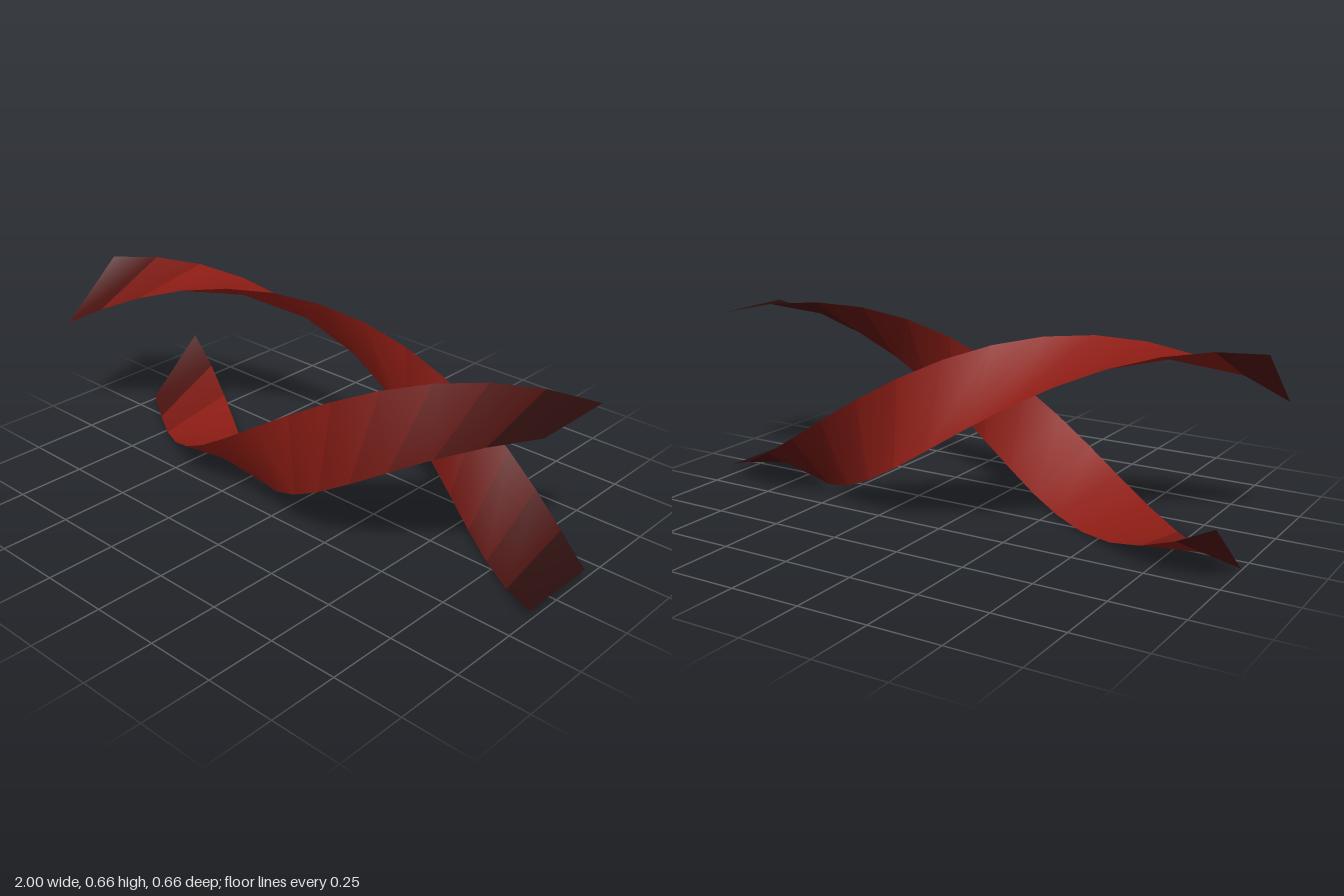
import * as THREE from 'three';

const STEPS = 14;          // bands along each ribbon
const RADIUS = 0.332;
const AXIS_Y = 0.332;
const HALF = THREE.MathUtils.degToRad(27.4);    // half the ribbon's arc
const TWIST = THREE.MathUtils.degToRad(221);    // turn over the full length

// Dark at both ends, red between: quick fade at -x, slow fade at +x
function bandColor(x) {
  const t = Math.min((x + 1) / 0.3, (1 - x) / 0.95, 1);
  return new THREE.Color(0x0a0a0a).lerp(new THREE.Color(0x8c1c14), THREE.MathUtils.clamp(t, 0, 1));
}

// Helical strip round the x axis; angles are measured from +y towards +z
function ribbon(name, endAngle, longDiagonal) {
  const points = [], index = [];
  for (let i = 0; i <= STEPS; i++) {
    const t = i / STEPS;
    const angle = endAngle + TWIST * (1 - t);
    for (const a of [angle - HALF, angle + HALF]) {
      points.push(2 * t - 1, AXIS_Y + RADIUS * Math.cos(a), RADIUS * Math.sin(a));
    }
    if (i < STEPS) {
      const a = 2 * i, b = a + 1, a2 = a + 2, b2 = a + 3;
      index.push(...(longDiagonal ? [b, b2, a2, b, a2, a] : [b, b2, a, b2, a2, a]));
    }
  }
  const strip = new THREE.BufferGeometry();
  strip.setAttribute('position', new THREE.Float32BufferAttribute(points, 3));
  strip.setIndex(index);
  strip.computeVertexNormals();

  // Cut into coloured bands that keep the smooth normals of the whole strip
  const group = new THREE.Group();
  group.name = name;
  for (let i = 0; i < STEPS; i++) {
    const geometry = strip.clone().setIndex(index.slice(i * 6, i * 6 + 6)).toNonIndexed();
    const material = new THREE.MeshStandardMaterial({
      color: bandColor(((i + 0.5) / STEPS) * 2 - 1),
      side: THREE.DoubleSide,
    });
    const band = new THREE.Mesh(geometry, material);
    band.name = `${name}Band${i + 1}`;
    group.add(band);
  }
  return group;
}

export function createModel() {
  const model = new THREE.Group();
  model.name = 'doubleHelix';
  // Two ribbons, half a turn apart
  model.add(ribbon('frontRibbon', 0, false));
  model.add(ribbon('backRibbon', Math.PI, true));
  return model;
}
